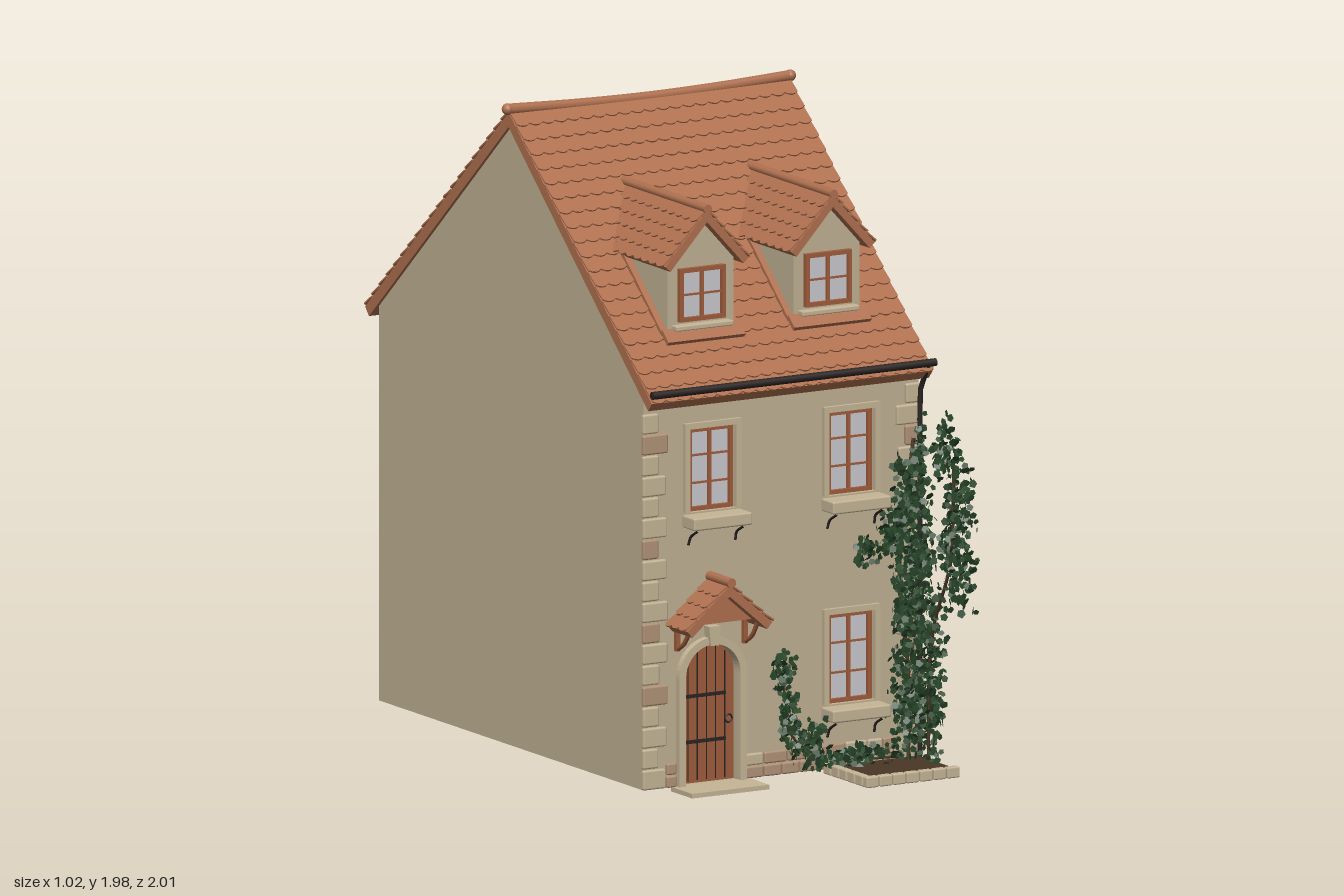
import * as THREE from 'three';
import { mergeGeometries } from 'three/addons/utils/BufferGeometryUtils.js';
import { RoundedBoxGeometry } from 'three/addons/geometries/RoundedBoxGeometry.js';

const mat = (name, color, side = THREE.FrontSide) => Object.assign(new THREE.MeshStandardMaterial({ color, side }), { name });
const M = {
  wall: mat('plaster', 0xc0b193), stone: mat('pale stone', 0xc6b697), pink: mat('pink stone', 0xb39378),
  tile: mat('terracotta', 0xb07150), wood: mat('wood', 0x9f5d3b), iron: mat('iron', 0x2b2523),
  glass: mat('glass', 0xcacacf), leaf: mat('ivy green', 0x29482b, THREE.DoubleSide),
  soil: mat('soil', 0x4a3726), hall: mat('interior', 0xa78b77),
};

let seed = 7;
const rnd = () => (seed = (seed * 16807) % 2147483647) / 2147483647;
const spread = () => rnd() + rnd() - 1;

export function createModel() {
  const model = new THREE.Group();
  model.name = 'townHouse';
  const add = (name, geo, material, x = 0, y = 0, z = 0, parent = model) => {
    const m = new THREE.Mesh(geo, material);
    m.name = name;
    m.position.set(x, y, z);
    parent.add(m);
    return m;
  };
  // box given by its limits
  const box = (name, material, x0, x1, y0, y1, z0, z1, round = 0) => add(name,
    round ? new RoundedBoxGeometry(x1 - x0, y1 - y0, z1 - z0, 1, round) : new THREE.BoxGeometry(x1 - x0, y1 - y0, z1 - z0),
    material, (x0 + x1) / 2, (y0 + y1) / 2, (z0 + z1) / 2);
  const poly = pts => new THREE.Shape(pts.map(p => new THREE.Vector2(...p)));
  const rect = (x0, x1, y0, y1) => poly([[x0, y0], [x1, y0], [x1, y1], [x0, y1]]);
  const arch = (cx, hw, y0, spring) => {
    const s = new THREE.Shape();
    s.moveTo(cx - hw, y0);
    s.lineTo(cx + hw, y0);
    s.lineTo(cx + hw, spring);
    s.absarc(cx, spring, hw, 0, Math.PI, false);
    s.closePath();
    return s;
  };
  const extrude = (shape, depth, holes = []) => {
    shape.holes.push(...holes);
    return new THREE.ExtrudeGeometry(shape, { depth, bevelEnabled: false, curveSegments: 14 });
  };
  const tube = (name, pts, r, material) => add(name, new THREE.TubeGeometry(
    new THREE.CatmullRomCurve3(pts.map(p => new THREE.Vector3(...p))), 24, r, 8), material);

  // --- walls: hollow shell, open underneath
  const doorX = -0.25;
  const windows = [[-0.245, 0.85, 1.105], [0.24, 0.85, 1.105], [0.24, 0.21, 0.485]];
  const openings = windows.map(([x, a, b]) => rect(x - 0.078, x + 0.078, a, b));
  openings.push(arch(doorX, 0.095, 0.013, 0.345));
  add('frontWall', extrude(rect(-0.43, 0.43, 0.012, 1.225), 0.05, openings), M.wall, 0, 0, 0.59);
  box('backWall', M.wall, -0.43, 0.43, 0.012, 1.225, -0.92, -0.87);
  const gable = extrude(poly([[-0.92, 0.012], [0.64, 0.012], [0.64, 1.227], [-0.14, 1.915], [-0.92, 1.227]]), 0.05).rotateY(-Math.PI / 2);
  add('leftGableWall', gable, M.wall, 0.48);
  add('rightGableWall', gable, M.wall, -0.43);
  box('innerPartition', M.hall, -0.43, 0.43, 0.013, 1.2, 0.24, 0.589);

  // --- tiled slope: slab with rows of scalloped tiles, falling from its top edge
  const slope = (name, w, len, rows, cols, t, theta, yaw, pos) => {
    const g = new THREE.Group();
    g.name = name;
    const h = len / rows, c = w / cols, s = new THREE.Shape();
    s.moveTo(-w / 2, 0);
    s.lineTo(-w / 2, -h);
    for (let i = 0; i < cols; i++) s.quadraticCurveTo(-w / 2 + (i + 0.5) * c, -h - 0.02, -w / 2 + (i + 1) * c, -h);
    s.lineTo(w / 2, 0);
    const row = new THREE.ExtrudeGeometry(s, { depth: 0.005, bevelEnabled: false, curveSegments: 4 }).rotateX(-0.12);
    add('tiles', mergeGeometries(Array.from({ length: rows }, (_, i) => row.clone().translate(0, -i * h, 0))), M.tile, 0, 0, 0, g);
    add('slab', new THREE.BoxGeometry(w, len, t), M.tile, 0, -len / 2, -t / 2, g);
    g.rotation.set(theta - Math.PI / 2, yaw, 0, 'YXZ');
    g.position.set(...pos);
    model.add(g);
  };
  const pitch = Math.atan(0.882);
  slope('frontRoof', 0.98, 1.127, 20, 22, 0.034, pitch, 0, [0, 1.955, -0.14]);
  slope('backRoof', 0.98, 1.127, 20, 22, 0.034, pitch, Math.PI, [0, 1.955, -0.14]);
  tube('ridgeTiles', [[-0.495, 1.965, -0.14], [-0.25, 1.955, -0.14], [0, 1.951, -0.14], [0.25, 1.955, -0.14], [0.495, 1.965, -0.14]], 0.017, M.tile);
  for (const s of [-1, 1]) add('ridgeEnd', new THREE.SphereGeometry(0.018, 12, 8), M.tile, s * 0.493, 1.965, -0.14);

  // gutter and downpipe
  add('gutter', new THREE.CylinderGeometry(0.012, 0.012, 0.99, 10).rotateZ(Math.PI / 2), M.iron, 0, 1.237, 0.714);
  tube('downpipe', [[0.474, 1.235, 0.71], [0.474, 1.205, 0.695], [0.474, 1.16, 0.664], [0.474, 1.08, 0.658], [0.474, 0.6, 0.658], [0.474, 0.02, 0.658]], 0.008, M.iron);

  // --- casement: timber frame, pane and glazing bars
  const casement = (cx, y0, y1, hw, z, rows) => {
    const f = 0.013;
    add('windowFrame', extrude(rect(cx - hw, cx + hw, y0, y1), 0.018, [rect(cx - hw + f, cx + hw - f, y0 + f, y1 - f)]), M.wood, 0, 0, z);
    box('windowPane', M.glass, cx - hw + 0.002, cx + hw - 0.002, y0 + 0.002, y1 - 0.002, z, z + 0.006);
    box('glazingBar', M.wood, cx - 0.005, cx + 0.005, y0 + f, y1 - f, z + 0.004, z + 0.014);
    for (let i = 1; i < rows; i++) {
      const y = y0 + (y1 - y0) * i / rows;
      box('glazingBar', M.wood, cx - hw + f, cx + hw - f, y - 0.003, y + 0.003, z + 0.004, z + 0.012);
    }
  };
  for (const [x, a, b] of windows) {
    casement(x, a, b, 0.078, 0.62, 3);
    add('windowSurround', extrude(rect(x - 0.098, x + 0.098, a, b + 0.018), 0.014, [rect(x - 0.08, x + 0.08, a + 0.001, b)]), M.stone, 0, 0, 0.64);
    box('windowSill', M.stone, x - 0.102, x + 0.102, a - 0.045, a - 0.006, 0.64, 0.715, 0.006);
    for (const s of [-1, 1]) {
      tube('sillBracket', [[x + s * 0.082, a - 0.1, 0.645], [x + s * 0.08, a - 0.075, 0.655], [x + s * 0.08, a - 0.048, 0.7]], 0.004, M.iron);
    }
  }

  // --- dormers
  const dPitch = Math.atan(1.09);
  for (const x of [-0.22, 0.22]) {
    add('dormerWall', extrude(poly([[x - 0.115, 1.33], [x + 0.115, 1.33], [x + 0.115, 1.6], [x, 1.715], [x - 0.115, 1.6]]), 0.43), M.wall, 0, 0, 0.105);
    for (const s of [-1, 1]) slope('dormerRoof', 0.485, 0.215, 5, 11, 0.024, dPitch, s * Math.PI / 2, [x, 1.752, 0.3325]);
    add('dormerRidge', new THREE.CylinderGeometry(0.014, 0.014, 0.5, 10).rotateX(Math.PI / 2), M.tile, x, 1.757, 0.33);
    casement(x, 1.412, 1.575, 0.08, 0.533, 2);
    box('dormerSill', M.stone, x - 0.1, x + 0.1, 1.388, 1.404, 0.53, 0.565, 0.004);
    // flashing around the foot
    const apron = add('dormerApron', new THREE.BoxGeometry(0.27, 0.05, 0.014), M.tile, x, 1.372, 0.552);
    apron.rotation.x = pitch - Math.PI / 2;
    for (const s of [-1, 1]) {
      const strip = add('dormerFlashing', new THREE.BoxGeometry(0.022, 0.36, 0.012), M.tile, x + s * 0.124, 1.4965, 0.4);
      strip.rotation.x = pitch - Math.PI / 2;
    }
  }

  // --- door
  add('doorPanel', extrude(arch(doorX, 0.095, 0.013, 0.345), 0.02), M.wood, 0, 0, 0.6);
  for (let i = -2; i <= 2; i++) {
    const x = doorX + i * 0.032;
    box('plankJoint', M.iron, x - 0.0015, x + 0.0015, 0.02, 0.345 + Math.sqrt(0.09 ** 2 - (i * 0.032) ** 2), 0.619, 0.622);
  }
  for (const y of [0.14, 0.28]) box('strapHinge', M.iron, doorX - 0.09, doorX + 0.065, y - 0.005, y + 0.005, 0.619, 0.627);
  add('doorRing', new THREE.TorusGeometry(0.012, 0.003, 6, 14), M.iron, doorX + 0.075, 0.2, 0.625);
  add('doorSurround', extrude(arch(doorX, 0.118, 0.012, 0.345), 0.022, [arch(doorX, 0.095, 0.0125, 0.345)]), M.stone, 0, 0, 0.64);
  add('keystone', extrude(poly([[-0.014, 0.438], [0.014, 0.438], [0.02, 0.497], [-0.02, 0.497]]), 0.032), M.stone, doorX, 0, 0.64);
  box('doorstep', M.stone, -0.385, -0.115, 0, 0.014, 0.64, 0.765);

  // --- door hood
  for (const s of [-1, 1]) {
    slope('hoodRoof', 0.12, 0.195, 4, 3, 0.026, Math.atan(0.86), s * Math.PI / 2, [doorX, 0.638, 0.7]);
    const bx = doorX + s * 0.118;
    box('hoodPost', M.wood, bx - 0.007, bx + 0.007, 0.43, 0.525, 0.64, 0.656);
    tube('hoodBrace', [[bx, 0.435, 0.65], [bx, 0.46, 0.69], [bx, 0.525, 0.735]], 0.007, M.wood);
    box('hoodBeam', M.wood, bx - 0.009, bx + 0.009, 0.515, 0.533, 0.64, 0.75);
  }
  add('hoodRidge', new THREE.CylinderGeometry(0.015, 0.015, 0.135, 10).rotateX(Math.PI / 2), M.tile, doorX, 0.647, 0.705);
  add('hoodInfill', extrude(poly([[-0.115, 0.518], [0.115, 0.518], [0, 0.612]]), 0.02), M.tile, doorX, 0, 0.7);

  // --- corner stones and plinth
  const stone = (name, x0, x1, y0, y1) => box(name, rnd() < 0.25 ? M.pink : M.stone, x0, x1, y0, y1, 0.635, 0.653, 0.006);
  for (let i = 0; i < 18; i++) {
    const y = 0.014 + i * 0.0642, w = (i % 2 ? 0.052 : 0.08) + rnd() * 0.008;
    stone('quoin', -0.488, -0.488 + w, y, y + 0.06);
    stone('quoin', 0.485 - w, 0.485, y, y + 0.06);
  }
  for (let r = 0; r < 2; r++) {
    const y = 0.013 + r * 0.039;
    box('plinthStone', M.pink, -0.404, -0.37, y, y + 0.036, 0.635, 0.652, 0.006);
    for (let x = -0.13, w; x < 0.39; x += w + 0.004) {
      w = 0.045 + rnd() * 0.035;
      box('plinthStone', rnd() < 0.6 ? M.pink : M.stone, x, x + w, y, y + 0.036, 0.635, 0.652, 0.006);
    }
  }

  // --- flower bed
  box('bedSoil', M.soil, 0.15, 0.47, 0, 0.022, 0.64, 0.89);
  for (let i = 0; i < 7; i++) box('bedEdging', M.stone, 0.142 + i * 0.047, 0.186 + i * 0.047, 0, 0.034, 0.88, 0.906, 0.005);
  for (let i = 0; i < 5; i++) box('bedEdging', M.stone, 0.142, 0.168, 0, 0.034, 0.645 + i * 0.047, 0.688 + i * 0.047, 0.005);

  // --- ivy: clusters as [x, y, z, reachX, reachY, reachZ, leaves]
  const clusters = [
    [0.425, 0.2, 0.69, 0.075, 0.22, 0.04, 330], [0.425, 0.5, 0.68, 0.07, 0.24, 0.03, 300],
    [0.42, 0.78, 0.675, 0.075, 0.2, 0.025, 240], [0.46, 0.95, 0.675, 0.025, 0.14, 0.02, 70],
    [0.36, 0.72, 0.675, 0.06, 0.08, 0.02, 70], [0.29, 0.68, 0.67, 0.06, 0.06, 0.015, 60],
    [-0.005, 0.33, 0.665, 0.05, 0.08, 0.015, 70], [0.01, 0.2, 0.665, 0.04, 0.12, 0.015, 70],
    [0.07, 0.11, 0.67, 0.08, 0.08, 0.02, 90], [0.22, 0.055, 0.68, 0.2, 0.04, 0.03, 170],
    [0.466, 0.16, 0.74, 0.018, 0.18, 0.09, 130], [0.466, 0.4, 0.74, 0.018, 0.2, 0.1, 140],
    [0.466, 0.65, 0.88, 0.016, 0.16, 0.13, 150], [0.466, 0.82, 0.91, 0.016, 0.18, 0.1, 150],
    [0.466, 0.97, 0.83, 0.016, 0.13, 0.1, 90], [0.466, 0.7, 0.71, 0.016, 0.16, 0.06, 70],
  ];
  const leaf = new THREE.CircleGeometry(0.012, 5), leaves = [], dummy = new THREE.Object3D();
  for (const [x, y, z, rx, ry, rz, n] of clusters) {
    for (let i = 0; i < n; i++) {
      dummy.position.set(x + spread() * rx, Math.max(0.015, y + spread() * ry), Math.max(0.648, z + spread() * rz));
      dummy.rotation.set(spread() * 1.2, spread() * 1.6, rnd() * 6.28);
      dummy.scale.setScalar(0.7 + rnd() * 0.5);
      dummy.updateMatrix();
      leaves.push(leaf.clone().applyMatrix4(dummy.matrix));
    }
  }
  add('ivyLeaves', mergeGeometries(leaves), M.leaf);
  tube('ivyStem', [[0.42, 0.02, 0.68], [0.43, 0.3, 0.66], [0.4, 0.6, 0.66], [0.45, 1, 0.66]], 0.006, M.soil);
  tube('ivyStem', [[0.466, 0.02, 0.72], [0.466, 0.4, 0.74], [0.466, 0.65, 0.85], [0.466, 0.95, 0.87]], 0.005, M.soil);
  tube('ivyStem', [[0.4, 0.03, 0.67], [0.15, 0.05, 0.66], [0.02, 0.14, 0.658], [0, 0.38, 0.658]], 0.004, M.soil);
  return model;
}
